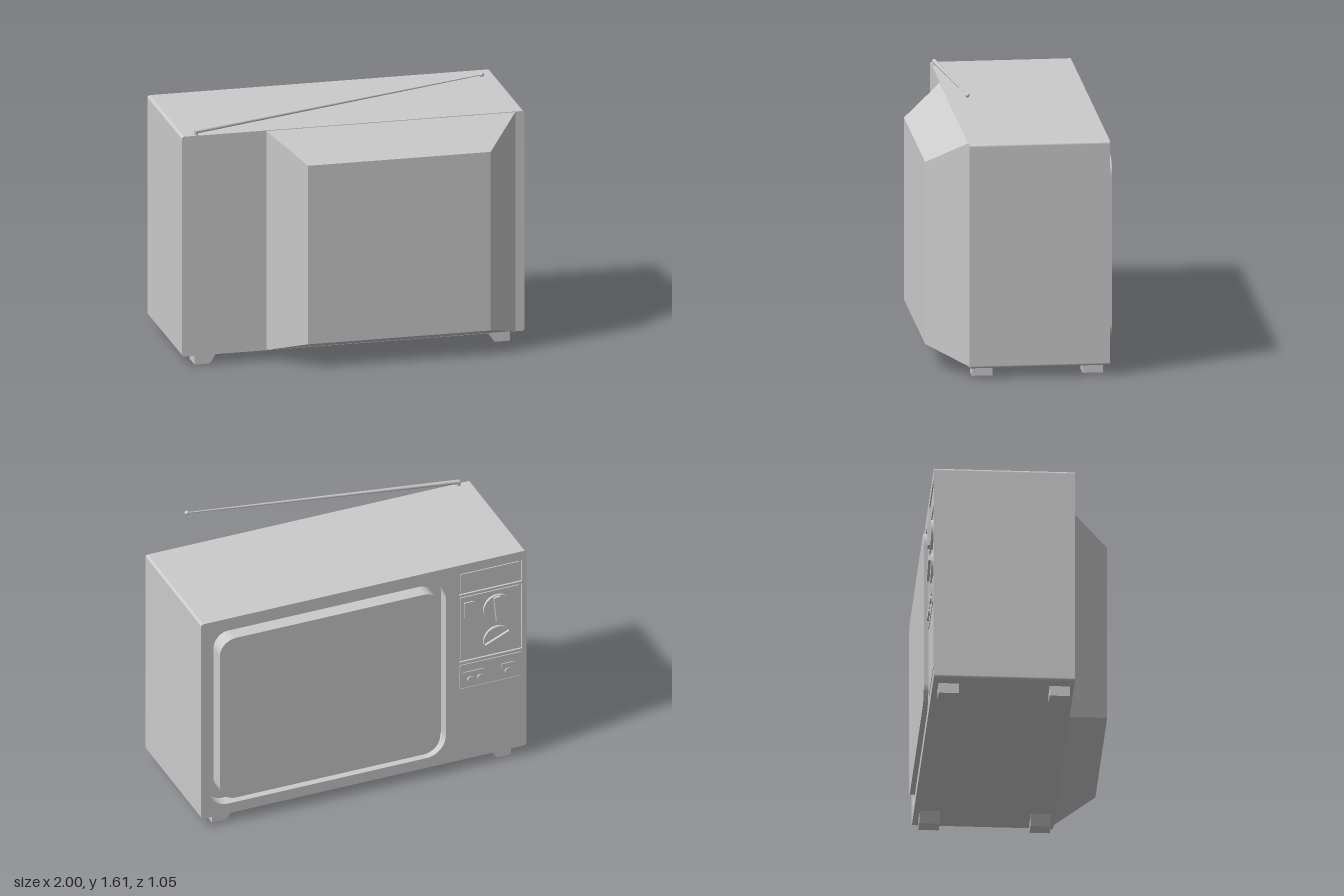
import * as THREE from 'three';

const grey = new THREE.MeshStandardMaterial({ color: 0xcccccc });

// Rounded rectangle given by its limits; works as outline or as hole
function roundRect(x0, x1, y0, y1, r, Type = THREE.Shape) {
  const s = new Type();
  s.moveTo(x0 + r, y0);
  s.lineTo(x1 - r, y0);
  s.absarc(x1 - r, y0 + r, r, -Math.PI / 2, 0);
  s.lineTo(x1, y1 - r);
  s.absarc(x1 - r, y1 - r, r, 0, Math.PI / 2);
  s.lineTo(x0 + r, y1);
  s.absarc(x0 + r, y1 - r, r, Math.PI / 2, Math.PI);
  s.lineTo(x0, y0 + r);
  s.absarc(x0 + r, y0 + r, r, Math.PI, Math.PI * 1.5);
  return s;
}

function add(parent, name, geometry, x = 0, y = 0, z = 0) {
  const mesh = new THREE.Mesh(geometry, grey);
  mesh.name = name;
  mesh.position.set(x, y, z);
  parent.add(mesh);
  return mesh;
}

// Extrude a shape between two z planes
function slab(parent, name, shape, z0, z1) {
  const g = new THREE.ExtrudeGeometry(shape, { depth: z1 - z0, bevelEnabled: false, curveSegments: 8 });
  return add(parent, name, g, 0, 0, z0);
}

// Box whose vertices are moved by a rule
function shapedBox(rule) {
  const g = new THREE.BoxGeometry(1, 1, 1);
  const p = g.attributes.position;
  for (let i = 0; i < p.count; i++) p.setXYZ(i, ...rule(p.getX(i) > 0, p.getY(i) > 0, p.getZ(i) > 0));
  g.computeVertexNormals();
  return g;
}

export function createModel() {
  const tv = new THREE.Group();
  tv.name = 'television';

  // Cabinet: solid rear part, deep screen surround, thin faceplate
  const screenHole = () => roundRect(-0.505, 0.955, 0.125, 1.285, 0.12, THREE.Path);
  const outline = () => roundRect(-1, 1, 0.06, 1.365, 0.015);
  slab(tv, 'cabinet', outline(), -0.43, 0.3);
  const surround = outline();
  surround.holes.push(screenHole());
  slab(tv, 'screenSurround', surround, -0.488, -0.43);
  const face = outline();
  face.holes.push(screenHole());
  const panels = [[1.165, 1.31], [0.715, 1.153]];
  for (const [y0, y1] of panels) face.holes.push(roundRect(-0.972, -0.585, y0, y1, 0.004, THREE.Path));
  slab(tv, 'faceplate', face, -0.5, -0.488);

  // Raised picture tube inside the recess
  slab(tv, 'screen', roundRect(-0.46, 0.895, 0.17, 1.24, 0.1), -0.523, -0.43);

  // Tapered rear housing
  add(tv, 'rearHousing', shapedBox((right, top, back) => back
    ? [right ? 0.745 : -0.32, top ? 1.21 : 0.15, 0.525]
    : [right ? 0.95 : -0.51, top ? 1.365 : 0.06, 0.295]));

  // Control panels
  const controls = new THREE.Group();
  controls.name = 'controls';
  tv.add(controls);
  for (const [y0, y1] of panels) slab(controls, 'panelInset', roundRect(-0.96, -0.597, y0 + 0.012, y1 - 0.012, 0.004), -0.495, -0.488);
  slab(controls, 'sliderPanel', roundRect(-0.967, -0.59, 0.545, 0.697, 0.004), -0.506, -0.49);
  slab(controls, 'speakerPanel', roundRect(-0.972, -0.585, 0.13, 0.538, 0.004), -0.503, -0.49);
  slab(controls, 'channelWindow', roundRect(-0.68, -0.62, 1.0, 1.105, 0.004), -0.503, -0.49);

  // Round dials with a grip bar
  for (const [y, tilt] of [[1.03, -0.1], [0.82, 1.16]]) {
    const dial = new THREE.Group();
    dial.name = 'dial';
    dial.position.set(-0.82, y, 0);
    dial.rotation.z = tilt;
    controls.add(dial);
    add(dial, 'dialDisc', new THREE.CylinderGeometry(0.085, 0.085, 0.024, 32).rotateX(Math.PI / 2), 0, 0, -0.498);
    add(dial, 'dialGrip', new THREE.BoxGeometry(0.04, 0.16, 0.03), 0, 0, -0.51);
  }

  // Slots and small push knobs
  for (const [x0, x1] of [[-0.74, -0.61], [-0.925, -0.845]]) {
    slab(controls, 'slot', roundRect(x0, x1, 0.613, 0.648, 0.004), -0.512, -0.5);
  }
  for (const x of [-0.655, -0.715, -0.885]) {
    add(controls, 'pushKnob', new THREE.CylinderGeometry(0.022, 0.022, 0.024, 20).rotateX(Math.PI / 2), x, 0.593, -0.505);
  }

  // Feet, slanted on their inner side
  for (const side of [-1, 1]) {
    for (const z of [0.22, -0.41]) {
      add(tv, 'foot', shapedBox((right, top, back) => {
        const outer = right === (side > 0);
        return [side * (outer ? 0.92 : top ? 0.79 : 0.83), top ? 0.065 : 0, z + (back ? 0.058 : -0.058)];
      }));
    }
  }

  // Telescopic aerial folded along the top
  const start = new THREE.Vector3(-0.92, 1.386, 0.285);
  const end = new THREE.Vector3(0.753, 1.595, 0.285);
  const aerial = new THREE.Group();
  aerial.name = 'aerial';
  aerial.position.copy(start);
  aerial.quaternion.setFromUnitVectors(new THREE.Vector3(0, 1, 0), end.clone().sub(start).normalize());
  tv.add(aerial);
  const length = start.distanceTo(end);
  add(aerial, 'aerialRod', new THREE.CylinderGeometry(0.004, 0.013, length, 12), 0, length / 2, 0);
  add(aerial, 'aerialTip', new THREE.SphereGeometry(0.013, 16, 12), 0, length, 0);
  add(tv, 'aerialPivot', new THREE.CylinderGeometry(0.012, 0.014, 0.03, 12), -0.915, 1.376, 0.285);

  return tv;
}
